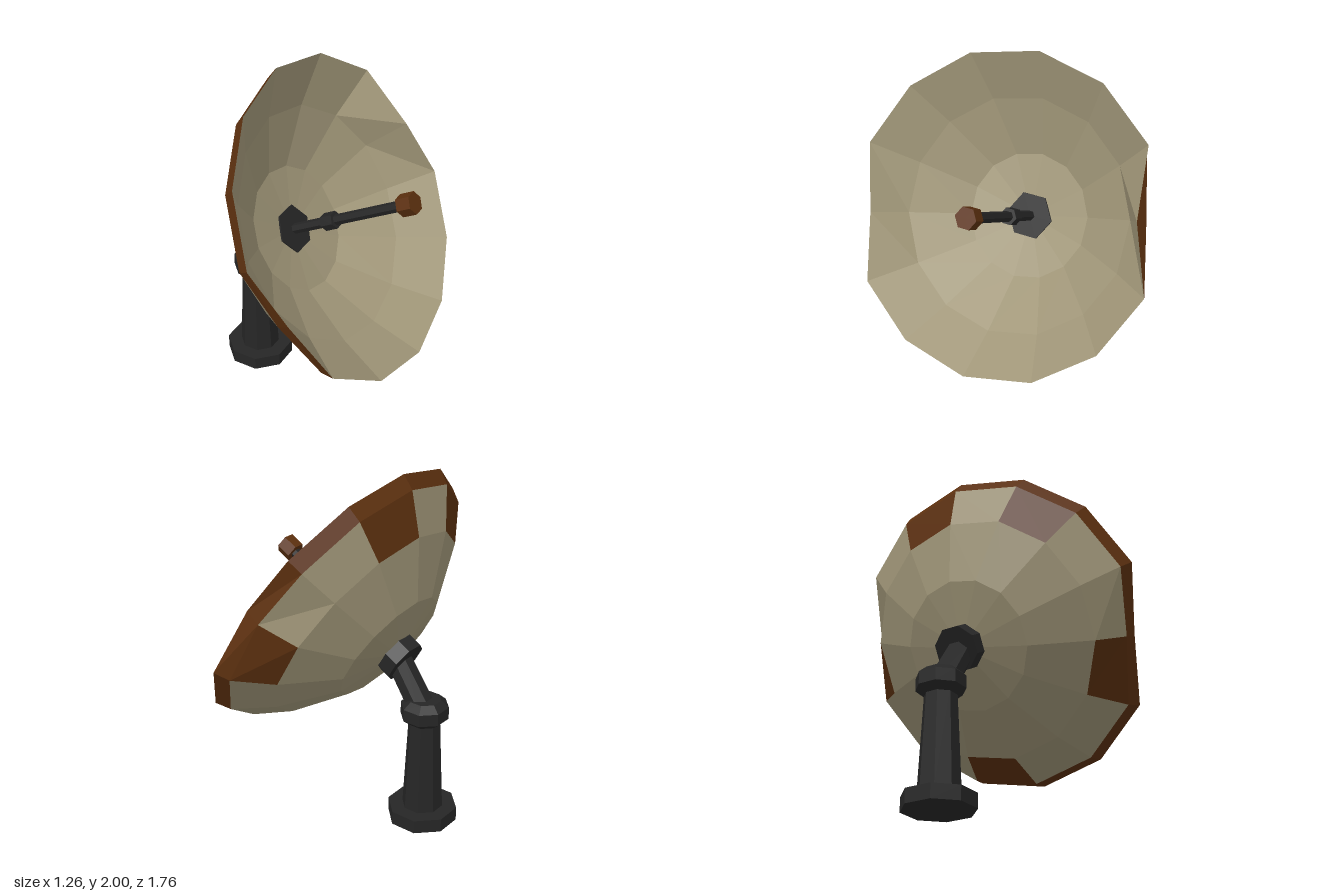
import * as THREE from 'three';

const SIDES = 14;
const STEP = (Math.PI * 2) / SIDES;

export function createModel() {
  const mat = (name, color) => {
    const m = new THREE.MeshStandardMaterial({ color, flatShading: true });
    m.name = name;
    return m;
  };
  const beige = mat('beige', 0xa09678);
  const brown = mat('rust brown', 0x5c300f);
  const dark = mat('dark metal', 0x262626);

  const model = new THREE.Group();
  model.name = 'dishAntenna';

  const add = (parent, name, geometry, material) => {
    const mesh = new THREE.Mesh(geometry, material);
    mesh.name = name;
    parent.add(mesh);
    return mesh;
  };

  // Pedestal: eight-sided base, tapered column and bevelled collar
  const pedestal = new THREE.Group();
  pedestal.name = 'pedestal';
  pedestal.position.set(-0.45, 0, -0.03);
  model.add(pedestal);
  const octagon = (name, rTop, rBottom, y0, y1) => {
    const k = 1 / Math.cos(Math.PI / 8);
    const g = new THREE.CylinderGeometry(rTop * k, rBottom * k, y1 - y0, 8);
    g.rotateY(Math.PI / 8).translate(0, (y0 + y1) / 2, 0);
    return add(pedestal, name, g, dark);
  };
  octagon('base', 0.183, 0.183, 0, 0.08);
  octagon('column', 0.082, 0.107, 0.08, 0.63);
  octagon('collarBottom', 0.125, 0.085, 0.615, 0.65);
  octagon('collar', 0.125, 0.125, 0.65, 0.72);
  octagon('collarTop', 0.085, 0.125, 0.72, 0.757);

  // Slanted arm from the collar to the hub behind the dish
  const from = new THREE.Vector3(-0.435, 0.69, -0.03);
  const to = new THREE.Vector3(-0.275, 0.93, -0.03);
  const armDir = to.clone().sub(from);
  const arm = add(model, 'arm',
    new THREE.CylinderGeometry(0.075, 0.08, armDir.length(), 8).rotateY(Math.PI / 8), dark);
  arm.position.copy(from).add(to).multiplyScalar(0.5);
  arm.quaternion.setFromUnitVectors(new THREE.Vector3(0, 1, 0), armDir.normalize());

  // Tilted head: local y is the dish axis, origin in the rim plane
  const head = new THREE.Group();
  head.name = 'dishHead';
  head.position.set(0.17, 1.215, -0.03);
  head.rotation.z = -Math.PI / 3;
  model.add(head);

  // A ring of points; dents replace the [radius, height] of single points
  const ring = (r, y, dents = {}) => Array.from({ length: SIDES }, (_, i) => {
    const [ri, yi] = dents[i] || [r, y];
    return [-ri * Math.cos(i * STEP), yi, ri * Math.sin(i * STEP)];
  });
  // Panels between two rings, outer to inner, facing up the axis or away from it
  const panels = (a, b, up, keep = () => true) => {
    const pos = [];
    for (let i = 0; i < SIDES; i++) {
      if (!keep(i)) continue;
      const j = (i + 1) % SIDES;
      const tris = [[a[i], a[j], b[j]], [a[i], b[j], b[i]]];
      for (const [p, q, s] of tris) pos.push(...p, ...(up ? [...q, ...s] : [...s, ...q]));
    }
    const g = new THREE.BufferGeometry();
    g.setAttribute('position', new THREE.Float32BufferAttribute(pos, 3));
    g.computeVertexNormals();
    return g;
  };

  const rim = ring(0.905, 0, { 4: [0.815, -0.02], 11: [0.78, 0.05] });
  const bandEdge = ring(0.868, -0.085, { 4: [0.8, -0.1], 11: [0.8, -0.05] });
  const backMid = ring(0.68, -0.25);
  const backInner = ring(0.365, -0.432);
  const backCentre = ring(0, -0.5);
  const frontMid = ring(0.665, -0.2);
  const frontInner = ring(0.358, -0.39);
  const frontCentre = ring(0, -0.435);

  // Dish: inner bowl, painted rim band and back shell
  add(head, 'bowlOuter', panels(rim, frontMid, true), beige);
  add(head, 'bowlMiddle', panels(frontMid, frontInner, true), beige);
  add(head, 'bowlCentre', panels(frontInner, frontCentre, true), beige);
  add(head, 'rimBand', panels(rim, bandEdge, false), brown);
  const painted = (i) => i % 3 === 1;
  add(head, 'paintedPanels', panels(bandEdge, backMid, false, painted), brown);
  add(head, 'plainPanels', panels(bandEdge, backMid, false, (i) => !painted(i)), beige);
  add(head, 'backMiddle', panels(backMid, backInner, false), beige);
  add(head, 'backCentre', panels(backInner, backCentre, false), beige);

  // Parts along the dish axis
  const axial = (name, r, y0, y1, sides, material) => {
    const g = new THREE.CylinderGeometry(r, r, y1 - y0, sides);
    if (sides === 8) g.rotateY(Math.PI / 8);
    add(head, name, g.translate(0, (y0 + y1) / 2, 0), material);
  };
  axial('hub', 0.13, -0.56, -0.45, 8, dark);
  axial('mountPlate', 0.137, -0.44, -0.41, 6, dark);
  axial('feedRod', 0.03, -0.42, 0.36, 6, dark);
  axial('rodCollar', 0.05, -0.185, -0.105, 6, dark);
  axial('feedTip', 0.062, 0.345, 0.432, 6, brown);

  return model;
}
